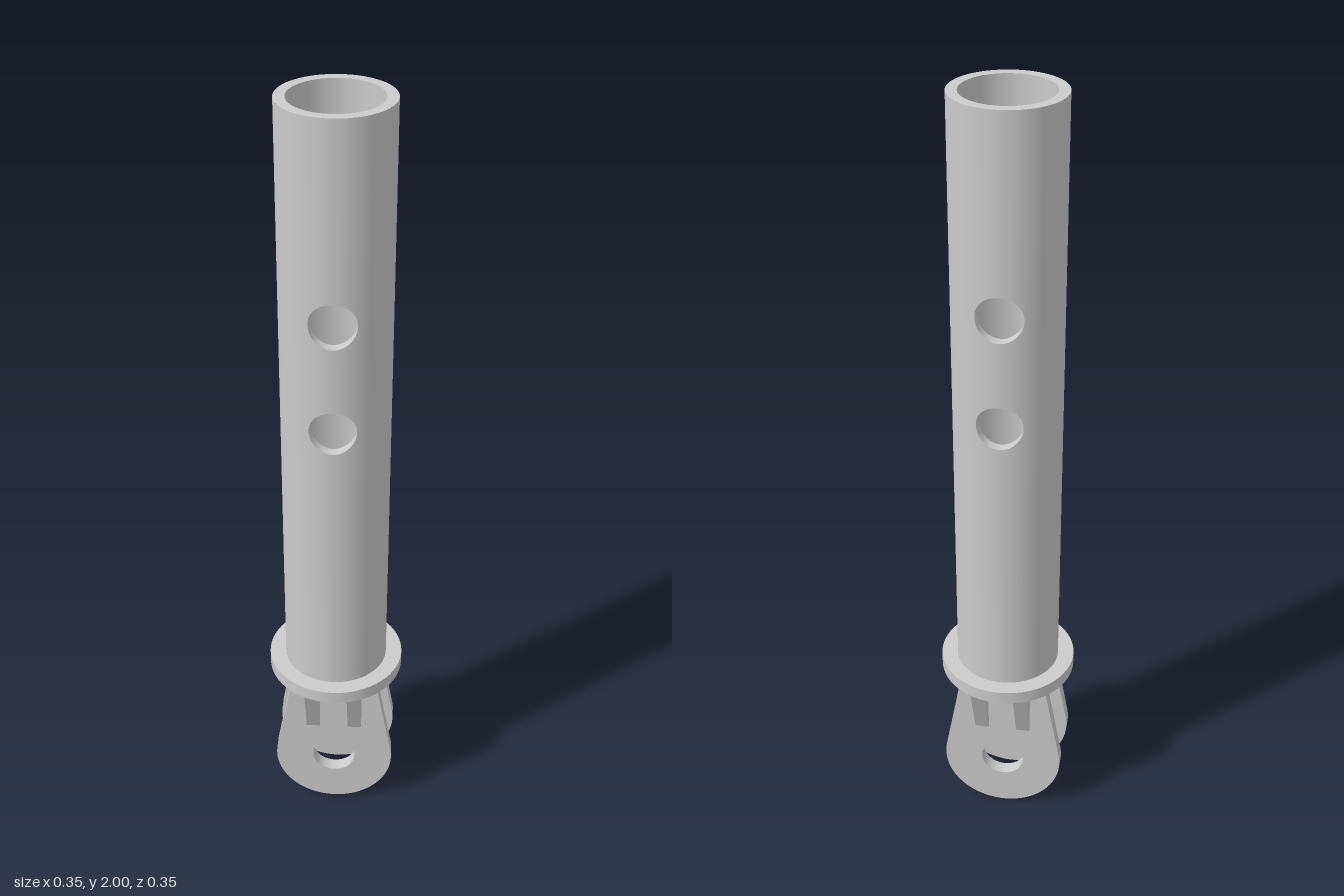
import * as THREE from 'three';
import { ParametricGeometry } from 'three/addons/geometries/ParametricGeometry.js';
import { mergeGeometries } from 'three/addons/utils/BufferGeometryUtils.js';

const R_OUT = 0.135, R_IN = 0.109, HOLE = 0.057;
const FLANGE_LOW = 0.427, FLANGE_TOP = 0.462, TOP = 2;
const HOLE_YS = [1.236, 1.517];

const material = new THREE.MeshStandardMaterial({ color: 0xcccccc });

function mesh(geometry, name) {
  const m = new THREE.Mesh(geometry, material);
  m.name = name;
  return m;
}

// Patch of cylinder wall: angle(u) around the axis, low(x)..high(x) in height
function wallPatch(radius, inward, angle, low, high, slices) {
  const g = new ParametricGeometry((u, v, p) => {
    const a = angle(inward ? 1 - u : u);
    const x = radius * Math.sin(a);
    p.set(x, THREE.MathUtils.lerp(low(x), high(x), v), radius * Math.cos(a));
  }, slices, 1);
  const pos = g.attributes.position, s = (inward ? -1 : 1) / radius;
  for (let i = 0; i < pos.count; i++) {
    g.attributes.normal.setXYZ(i, pos.getX(i) * s, 0, pos.getZ(i) * s);
  }
  return g;
}

// Half of the tube: perforated front strip, plain side, and hole linings
function halfTube() {
  const parts = [];
  const chord = (x) => Math.sqrt(Math.max(0, HOLE * HOLE - x * x));
  const bottom = () => FLANGE_TOP, top = () => TOP;
  const lows = [bottom, ...HOLE_YS.map((y) => (x) => y + chord(x))];
  const highs = [...HOLE_YS.map((y) => (x) => y - chord(x)), top];

  for (const [radius, inward] of [[R_OUT, false], [R_IN, true]]) {
    const edge = Math.asin(HOLE / radius);
    const strip = (u) => Math.asin((-HOLE * Math.cos(Math.PI * u)) / radius);
    lows.forEach((low, i) => parts.push(wallPatch(radius, inward, strip, low, highs[i], 24)));
    const side = (u) => edge + u * (Math.PI - 2 * edge);
    parts.push(wallPatch(radius, inward, side, bottom, top, 28));
  }

  for (const y of HOLE_YS) {
    parts.push(new ParametricGeometry((u, v, p) => {
      const a = u * Math.PI * 2, x = HOLE * Math.cos(a);
      const zOut = Math.sqrt(R_OUT * R_OUT - x * x), zIn = Math.sqrt(R_IN * R_IN - x * x);
      p.set(x, y + HOLE * Math.sin(a), THREE.MathUtils.lerp(zOut, zIn, v));
    }, 48, 1));
  }
  return mergeGeometries(parts);
}

// Clevis plate: round eye tapering up to the flange
function lugPlate() {
  const cy = 0.158, r = 0.158, topX = 0.112, thickness = 0.036;
  const dy = FLANGE_LOW - cy;
  const tangent = Math.atan2(dy, topX) - Math.acos(r / Math.hypot(topX, dy));
  const shape = new THREE.Shape();
  shape.moveTo(topX, FLANGE_LOW);
  shape.lineTo(-topX, FLANGE_LOW);
  shape.absarc(0, cy, r, Math.PI - tangent, Math.PI * 2 + tangent, false);
  shape.closePath();
  const hole = new THREE.Path();
  hole.absarc(0, cy, HOLE, 0, Math.PI * 2, true);
  shape.holes.push(hole);
  const g = new THREE.ExtrudeGeometry(shape, { depth: thickness, bevelEnabled: false, curveSegments: 40 });
  return g.translate(0, 0, 0.06);
}

// Triangular rib between plate and flange, drawn in (z, y) and turned to face x
function gusset(x) {
  const width = 0.037;
  const shape = new THREE.Shape([
    new THREE.Vector2(-0.09, 0.265),
    new THREE.Vector2(-0.09, FLANGE_LOW),
    new THREE.Vector2(-0.16, FLANGE_LOW),
    new THREE.Vector2(-0.096, 0.265),
  ]);
  const g = new THREE.ExtrudeGeometry(shape, { depth: width, bevelEnabled: false });
  return g.rotateY(Math.PI / 2).translate(x - width / 2, 0, 0);
}

export function createModel() {
  const model = new THREE.Group();
  model.name = 'tubeWithClevis';

  // Tube with two cross holes, plus its top rim
  const tube = new THREE.Group();
  tube.name = 'tube';
  const half = halfTube();
  for (const [name, turn] of [['frontHalf', 0], ['backHalf', Math.PI]]) {
    const m = mesh(half, name);
    m.rotation.y = turn;
    tube.add(m);
  }
  const rim = mesh(new THREE.RingGeometry(R_IN, R_OUT, 64), 'topRim');
  rim.rotation.x = -Math.PI / 2;
  rim.position.y = TOP;
  tube.add(rim);
  model.add(tube);

  // Flange disc closing the tube
  const flange = mesh(new THREE.CylinderGeometry(0.177, 0.177, FLANGE_TOP - FLANGE_LOW, 64), 'flange');
  flange.position.y = (FLANGE_TOP + FLANGE_LOW) / 2;
  model.add(flange);

  // Two clevis lugs, each with a pair of ribs on its outer face
  const plate = lugPlate();
  for (const [name, turn] of [['frontLug', 0], ['backLug', Math.PI]]) {
    const lug = new THREE.Group();
    lug.name = name;
    lug.add(mesh(plate, 'plate'));
    for (const x of [-0.056, 0.056]) lug.add(mesh(gusset(x), 'rib'));
    lug.rotation.y = turn;
    model.add(lug);
  }
  return model;
}
